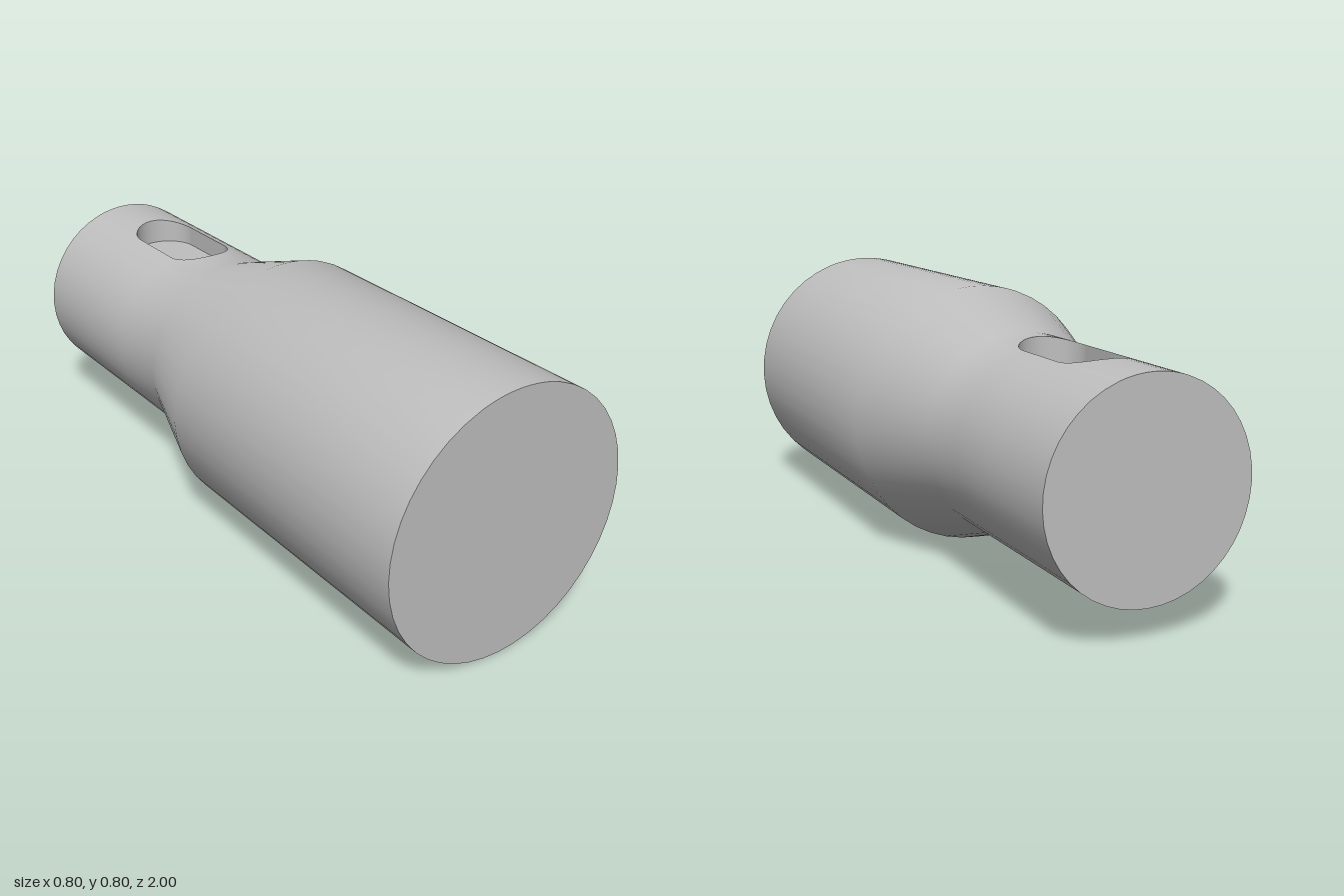
import * as THREE from 'three';

const AXIS_Y = 0.4, BIG_R = 0.4, SMALL_R = 0.3;
const SLOT_R = 0.1, SLOT_FRONT = -0.5, SLOT_BACK = -0.7, SLOT_FLOOR = 0.62;
const SLOT_STEPS = 16, ROUND_STEPS = 40;

// Joins columns of [position, normal] pairs into a smooth strip surface
function gridGeometry(columns, skip = () => false) {
  const rows = columns[0].length, pos = [], nor = [], idx = [];
  for (const col of columns) for (const [p, n] of col) {
    pos.push(...p);
    nor.push(...new THREE.Vector3(...n).normalize().toArray());
  }
  for (let j = 0; j < columns.length - 1; j++) for (let i = 0; i < rows - 1; i++) {
    if (skip(j, i)) continue;
    const a = j * rows + i, b = a + rows;
    idx.push(a, b, a + 1, b, b + 1, a + 1);
  }
  const g = new THREE.BufferGeometry();
  g.setAttribute('position', new THREE.Float32BufferAttribute(pos, 3));
  g.setAttribute('normal', new THREE.Float32BufferAttribute(nor, 3));
  g.setIndex(idx);
  return g;
}

export function createModel() {
  const group = new THREE.Group();
  const steel = new THREE.MeshStandardMaterial({ color: 0xbfbfbf });
  steel.name = 'steel grey';
  const add = (name, geometry) => {
    const mesh = new THREE.Mesh(geometry, steel);
    mesh.name = name;
    group.add(mesh);
    return mesh;
  };

  // Angles around the axis, measured from the top: fine across the slot, even elsewhere
  const edge = Math.asin(SLOT_R / SMALL_R);
  const angles = [], ends = [];
  for (let k = 0; k <= SLOT_STEPS; k++) {
    const u = (k / SLOT_STEPS - 0.5) * Math.PI;
    angles.push(Math.asin(SLOT_R * Math.sin(u) / SMALL_R));
    ends.push(SLOT_R * Math.cos(u));
  }
  for (let k = 1; k <= ROUND_STEPS; k++) {
    angles.push(edge + (2 * Math.PI - 2 * edge) * k / ROUND_STEPS);
    ends.push(0);
  }

  // Stepped shaft skin with a taper and an opening for the slot
  const columns = angles.map((t, j) => {
    const s = Math.sin(t), c = Math.cos(t);
    const at = (r, z, tilt = 0) => [[r * s, AXIS_Y + r * c, z], [s, c, tilt]];
    return [
      at(BIG_R, 1), at(BIG_R, 0, -0.16), at(SMALL_R, -0.3, -0.16),
      at(SMALL_R, SLOT_FRONT + ends[j]), at(SMALL_R, SLOT_BACK - ends[j]), at(SMALL_R, -1),
    ];
  });
  add('shaft', gridGeometry(columns, (j, i) => j < SLOT_STEPS && i === 3));

  // Flat end faces
  const disc = r => new THREE.ShapeGeometry(new THREE.Shape(
    angles.slice(0, -1).map(t => new THREE.Vector2(r * Math.sin(t), r * Math.cos(t)))));
  add('frontFace', disc(BIG_R)).position.set(0, AXIS_Y, 1);
  const back = add('backFace', disc(SMALL_R));
  back.position.set(0, AXIS_Y, -1);
  back.rotation.y = Math.PI;

  // Slot walls: front rounded end, then back rounded end, closed into a loop
  const walls = [];
  for (const [centre, dir] of [[SLOT_FRONT, 1], [SLOT_BACK, -1]]) {
    for (let k = 0; k <= SLOT_STEPS; k++) {
      const u = (k / SLOT_STEPS - 0.5) * Math.PI;
      const nx = dir * Math.sin(u), nz = dir * Math.cos(u);
      const x = SLOT_R * nx, z = centre + SLOT_R * nz;
      const rim = AXIS_Y + Math.sqrt(SMALL_R ** 2 - x * x);
      walls.push([[[x, rim, z], [-nx, 0, -nz]], [[x, SLOT_FLOOR, z], [-nx, 0, -nz]]]);
    }
  }
  walls.push(walls[0]);
  add('slotWalls', gridGeometry(walls));

  // Slot floor
  const outline = walls.slice(0, -1).map(([[p]]) => new THREE.Vector2(p[0], -p[2]));
  const floor = add('slotFloor', new THREE.ShapeGeometry(new THREE.Shape(outline)));
  floor.rotation.x = -Math.PI / 2;
  floor.position.y = SLOT_FLOOR;

  return group;
}
